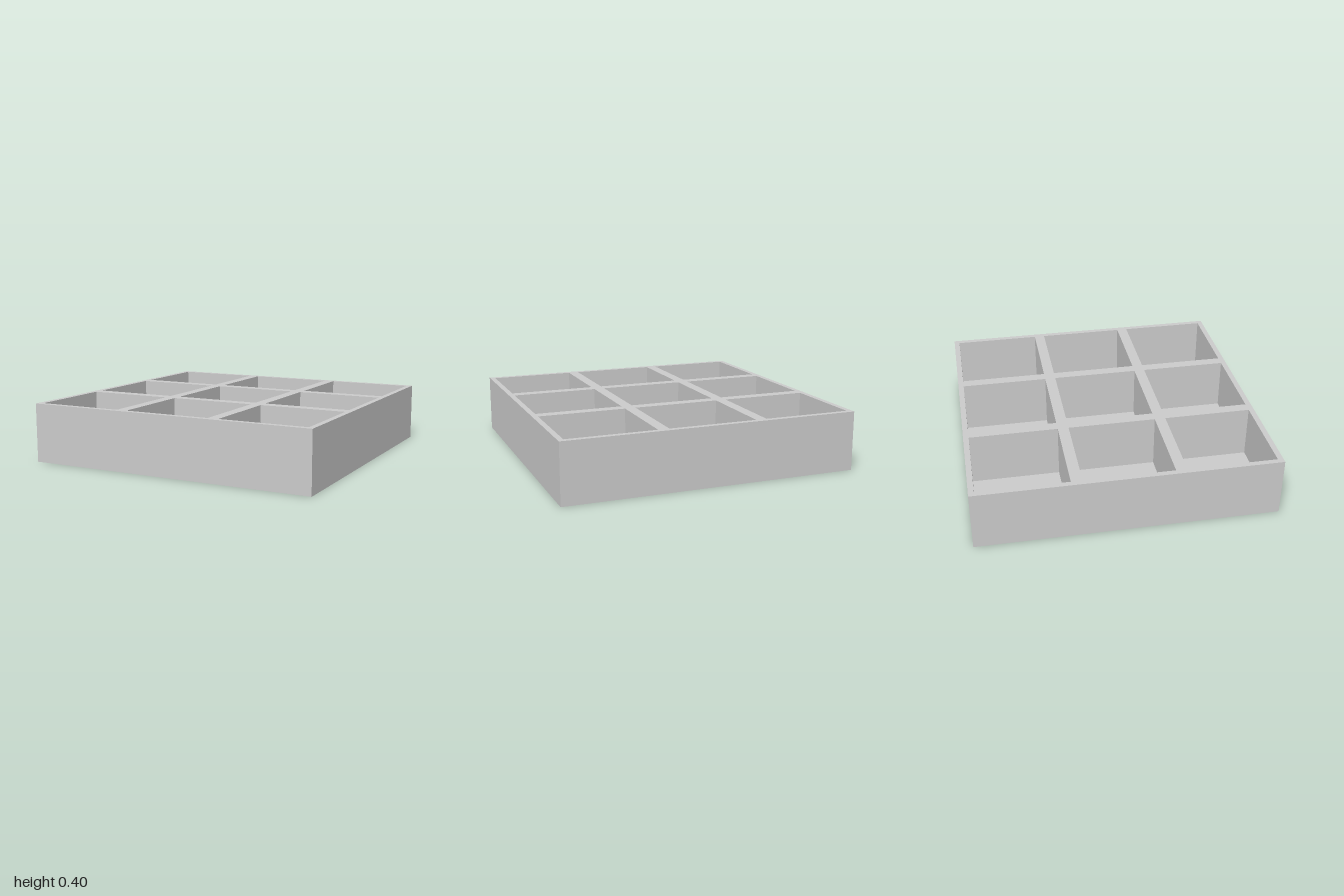
import * as THREE from 'three';

const SIZE = 2, HEIGHT = 0.4, FLOOR = 0.04;
const CELLS = 3, PITCH = SIZE / CELLS, POCKET = 0.593;

// Square outline centred on (x, y)
function square(PathType, x, y, size) {
  const h = size / 2;
  return new PathType([[-h, -h], [h, -h], [h, h], [-h, h]]
    .map(([dx, dy]) => new THREE.Vector2(x + dx, y + dy)));
}

export function createModel() {
  const group = new THREE.Group();
  group.name = 'compartmentTray';
  const material = new THREE.MeshStandardMaterial({ color: 0xcccccc, flatShading: true });

  // Outer walls and dividers: one slab pierced by a grid of square pockets
  const outline = square(THREE.Shape, 0, 0, SIZE);
  for (let i = 0; i < CELLS; i++) {
    for (let j = 0; j < CELLS; j++) {
      const x = (i - (CELLS - 1) / 2) * PITCH;
      const y = (j - (CELLS - 1) / 2) * PITCH;
      outline.holes.push(square(THREE.Path, x, y, POCKET));
    }
  }
  const wallGeometry = new THREE.ExtrudeGeometry(outline, { depth: HEIGHT - FLOOR, bevelEnabled: false });
  wallGeometry.rotateX(-Math.PI / 2);
  const walls = new THREE.Mesh(wallGeometry, material);
  walls.name = 'wallsAndDividers';
  walls.position.y = FLOOR;
  group.add(walls);

  // Closed floor under all pockets
  const floor = new THREE.Mesh(new THREE.BoxGeometry(SIZE, FLOOR, SIZE), material);
  floor.name = 'floor';
  floor.position.y = FLOOR / 2;
  group.add(floor);

  return group;
}
